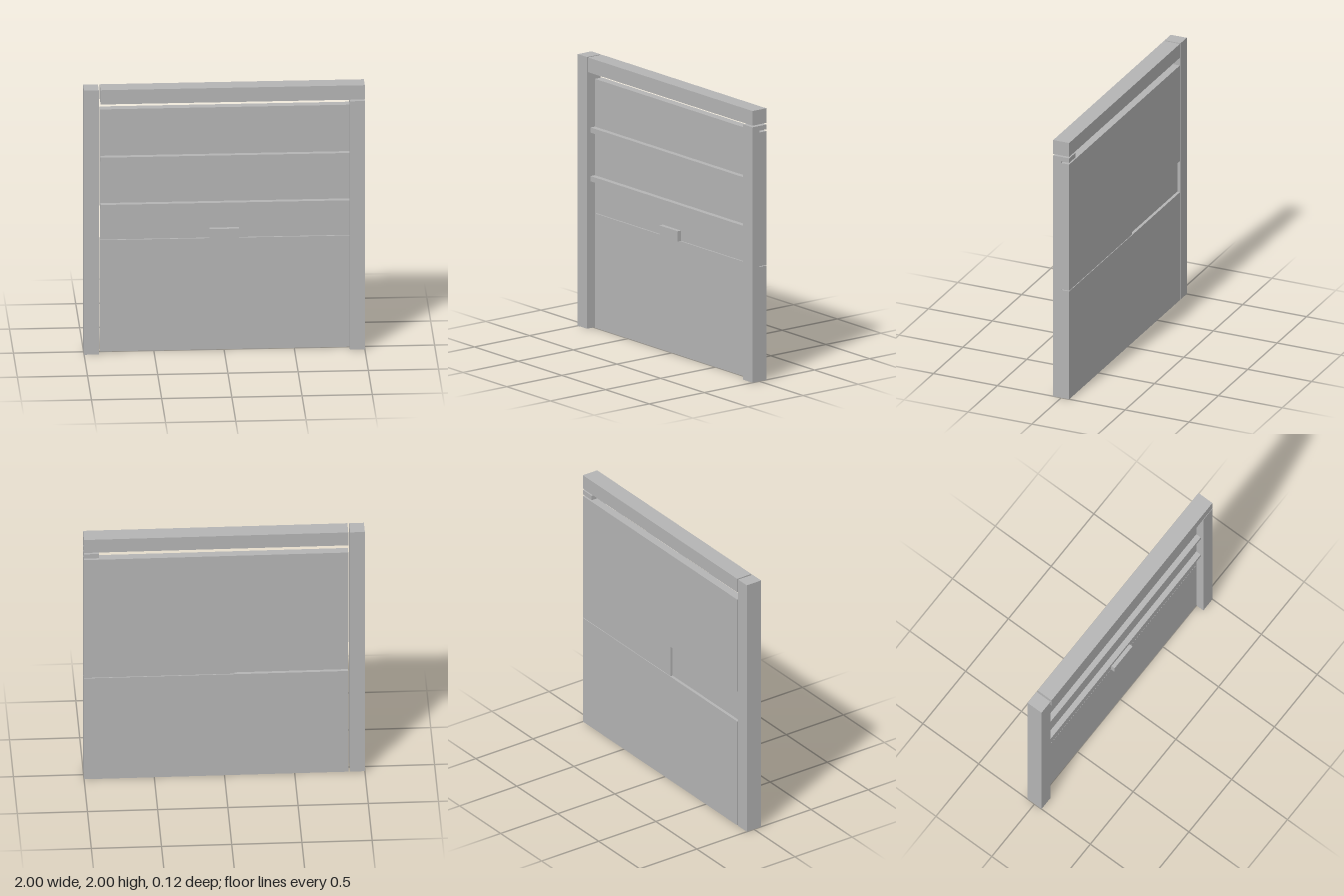
import * as THREE from 'three';

export function createModel() {
  const group = new THREE.Group();
  const grey = new THREE.MeshStandardMaterial({ color: 0xb4b4b4 });
  grey.name = 'plain grey';

  // Box given by its extents along each axis
  function block(name, x0, x1, y0, y1, z0, z1) {
    const mesh = new THREE.Mesh(new THREE.BoxGeometry(x1 - x0, y1 - y0, z1 - z0), grey);
    mesh.position.set((x0 + x1) / 2, (y0 + y1) / 2, (z0 + z1) / 2);
    mesh.name = name;
    group.add(mesh);
  }

  const back = -0.0625, front = 0.0625;
  const recess = -0.045; // floor of the shallow pocket in the back

  // Frame: full post, top beam, and a post lapped over the panels
  block('rightPost', -1, -0.895, 0, 2, back, front);
  block('topBeam', -0.882, 1, 1.892, 2, back, front);
  block('leftPost', 0.893, 1, 0, 1.88, 0, front);
  block('leftPostHead', 0.893, 1, 1.845, 1.88, back, 0);

  // Lower panel
  block('lowerPanel', -0.882, 1, 0, 0.842, back, 0);

  // Upper panel, with a pocket open to one end and to the seam below
  block('upperPanel', -0.882, 1, 1.085, 1.832, back, 0);
  block('upperPanelFoot', -0.07, 1, 0.847, 1.085, back, 0);
  block('pocketFloor', -0.882, -0.07, 0.847, 1.085, recess, 0);

  // Horizontal rails on the front
  for (const y of [1.085, 1.443]) block('rail', -0.882, 0.895, y, y + 0.038, 0, 0.04);

  // Handle
  block('handle', -0.105, 0.105, 0.847, 0.922, 0, 0.032);

  return group;
}
